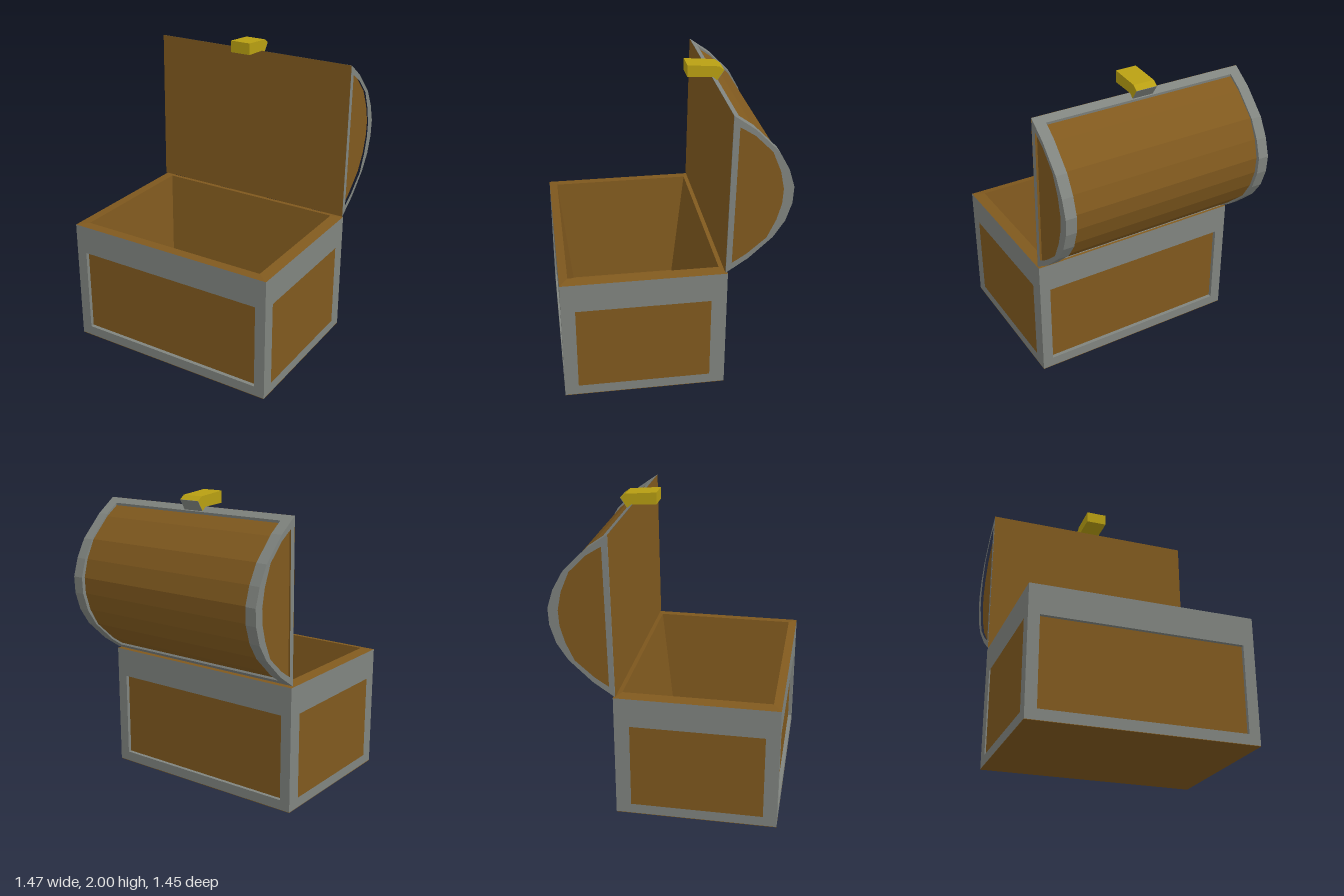
import * as THREE from 'three';

const paint = (color) => new THREE.MeshStandardMaterial({ color, flatShading: true });
const wood = paint(0x80591e), iron = paint(0x80847f), brass = paint(0xb89f12);
wood.side = THREE.DoubleSide;

function add(group, name, geometry, material) {
  const mesh = new THREE.Mesh(geometry, material);
  mesh.name = name;
  group.add(mesh);
  return mesh;
}

const toShape = (pts) => new THREE.Shape(pts.map(([a, b]) => new THREE.Vector2(a, b)));
const rect = (x0, x1, y0, y1) => [[x0, y0], [x1, y0], [x1, y1], [x0, y1]];

function extrude(outline, depth, hole) {
  const shape = toShape(outline);
  if (hole) shape.holes.push(toShape(hole));
  return new THREE.ExtrudeGeometry(shape, { depth, bevelEnabled: false });
}

// Extrudes a side profile of [z, y] points along x
function profile(pts, x0, x1, hole) {
  const flip = (list) => list.map(([z, y]) => [-z, y]);
  return extrude(flip(pts), x1 - x0, hole && flip(hole)).rotateY(Math.PI / 2).translate(x0, 0, 0);
}

// Skins a stack of rectangles [halfX, z0, z1, y], capped at both ends
function rectLoft(levels) {
  const rings = levels.map(([x, z0, z1, y]) => [[x, y, z1], [x, y, z0], [-x, y, z0], [-x, y, z1]]);
  const pos = [];
  const quad = (a, b, c, d) => pos.push(...a, ...b, ...c, ...a, ...c, ...d);
  for (let i = 0; i < rings.length - 1; i++) {
    for (let k = 0; k < 4; k++) {
      const n = (k + 1) % 4;
      quad(rings[i][k], rings[i][n], rings[i + 1][n], rings[i + 1][k]);
    }
  }
  const [a, b, c, d] = rings[0];
  quad(d, c, b, a);
  quad(...rings[rings.length - 1]);
  const geo = new THREE.BufferGeometry();
  geo.setAttribute('position', new THREE.Float32BufferAttribute(pos, 3));
  geo.computeVertexNormals();
  return geo;
}

const W = 0.735, Z0 = -0.335, Z1 = 0.725, TOP = 0.846, T = 0.025;

function buildBase() {
  const base = new THREE.Group();
  base.name = 'base';
  // Wooden box: bottom plate, recessed walls, rim and tapered inside
  add(base, 'woodenBox', rectLoft([
    [W, Z0, Z1, 0],
    [W, Z0, Z1, 0.003],
    [W - T, Z0 + T, Z1 - T, 0.003],
    [W - T, Z0 + T, Z1 - T, TOP],
    [W, Z0, Z1, TOP],
    [0.66, -0.29, 0.67, 0.855],
    [0.592, -0.19, 0.585, 0.07],
  ]), wood);

  // Iron frames around the four panels
  const wide = extrude(rect(-W, W, 0.003, TOP), T, rect(-0.662, 0.662, 0.07, 0.65));
  add(base, 'frontFrame', wide, iron).position.z = Z1 - T;
  const back = add(base, 'backFrame', wide, iron);
  back.position.z = Z0 + T;
  back.rotation.y = Math.PI;
  const side = profile(rect(Z0, Z1, 0.003, TOP), 0, T, rect(-0.235, 0.635, 0.07, 0.65));
  add(base, 'leftFrame', side, iron).position.x = W - T;
  add(base, 'rightFrame', side, iron).position.x = -W;
  return base;
}

function buildLid() {
  const lid = new THREE.Group();
  lid.name = 'lid';
  // Matching [z, y] points of the band's outer and inner edges
  const outer = [[-0.335, 1.915], [-0.378, 1.885], [-0.47, 1.82], [-0.62, 1.67], [-0.687, 1.55],
    [-0.725, 1.43], [-0.72, 1.32], [-0.682, 1.2], [-0.61, 1.09], [-0.46, 0.95], [-0.375, 0.892], [-0.32, 0.855]];
  const inner = [[-0.373, 1.84], [-0.4, 1.825], [-0.47, 1.78], [-0.58, 1.67], [-0.635, 1.54],
    [-0.66, 1.42], [-0.655, 1.32], [-0.625, 1.21], [-0.57, 1.09], [-0.45, 0.985], [-0.39, 0.945], [-0.356, 0.925]];
  const core = outer.map((p, i) => p.map((v, k) => v + (inner[i][k] - v) * 0.38));
  add(lid, 'woodenBarrel', profile(core, -W + T, W - T), wood);

  // Curved iron bands at both ends
  add(lid, 'leftBand', profile(outer, 0.662, W, inner), iron);
  add(lid, 'rightBand', profile(outer, -W, -0.662, inner), iron);

  // Iron strips along the lip and the hinge
  const n = outer.length - 1;
  add(lid, 'lipStrip', profile([outer[0], outer[1], inner[0]], -0.662, 0.662), iron);
  add(lid, 'hingeStrip', profile([outer[n], outer[n - 1], inner[n]], -0.662, 0.662), iron);

  // Flat wooden underside
  const under = add(lid, 'lidUnderside', new THREE.PlaneGeometry(2 * W, 1.06), wood);
  under.position.set(0, 1.385, -0.3255);
  under.rotation.x = -0.0142;
  return lid;
}

function buildClasp() {
  const clasp = new THREE.Group();
  clasp.name = 'clasp';
  const h = 0.072;
  add(clasp, 'claspHook', profile([[-0.175, 2], [-0.38, 1.983], [-0.415, 1.957], [-0.37, 1.89],
    [-0.342, 1.914], [-0.175, 1.922]], -h, h), brass);
  // Iron backing on the slanted end
  add(clasp, 'claspBacking', profile([[-0.415, 1.957], [-0.417, 1.956], [-0.372, 1.889], [-0.37, 1.89]], -h, h), iron);
  return clasp;
}

export function createModel() {
  const model = new THREE.Group();
  model.name = 'treasureChest';
  model.add(buildBase(), buildLid(), buildClasp());
  return model;
}
